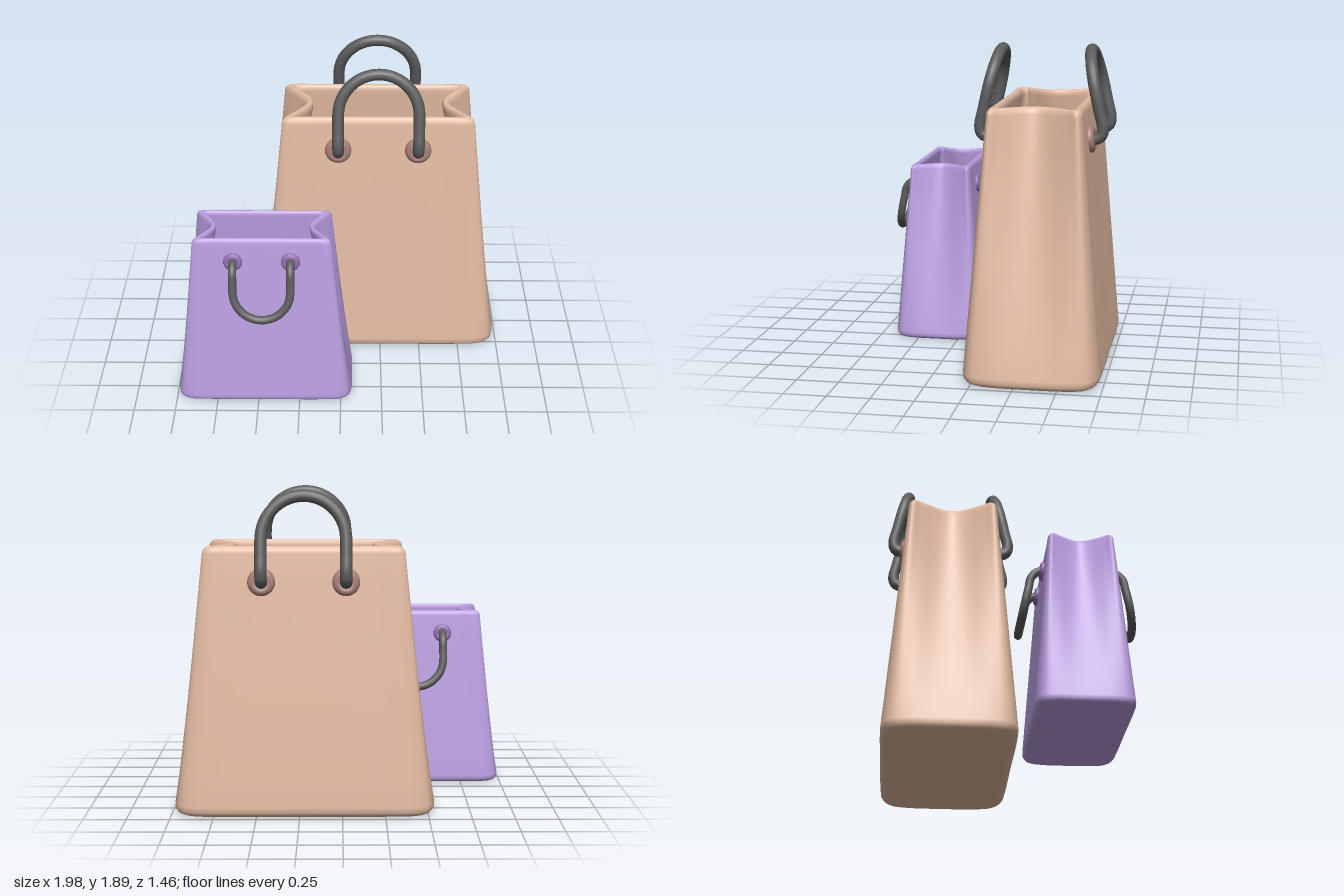
import * as THREE from 'three';

const HEIGHT = 1.565;

// Quarter cross-sections [x, z], from the middle of the side to the middle of the front
const SECTIONS = {
  outerBottom: [[0.775, 0], [0.775, 0.1], [0.768, 0.24], [0.735, 0.345], [0.65, 0.39], [0.5, 0.4], [0, 0.4]],
  outerTop: [[0.445, 0], [0.462, 0.06], [0.545, 0.19], [0.58, 0.245], [0.55, 0.265], [0.4, 0.265], [0, 0.265]],
  innerBottom: [[0.725, 0], [0.725, 0.09], [0.718, 0.21], [0.69, 0.305], [0.62, 0.342], [0.48, 0.35], [0, 0.35]],
  innerTop: [[0.39, 0], [0.402, 0.06], [0.465, 0.155], [0.495, 0.195], [0.465, 0.212], [0.36, 0.212], [0, 0.212]],
};

// Closed ring at height y; w blends from the outer wall (0) to the inner wall (1)
function ring(y, w, scale, count) {
  const u = y / HEIGHT, mix = THREE.MathUtils.lerp;
  const quarter = SECTIONS.outerBottom.map((_, i) => [0, 1].map((k) => mix(
    mix(SECTIONS.outerBottom[i][k], SECTIONS.outerTop[i][k], u),
    mix(SECTIONS.innerBottom[i][k], SECTIONS.innerTop[i][k], u), w)));
  const half = [...quarter, ...quarter.slice(0, -1).reverse().map(([x, z]) => [-x, z])];
  const full = [...half, ...half.slice(1, -1).reverse().map(([x, z]) => [x, -z])];
  const curve = new THREE.CatmullRomCurve3(
    full.map(([x, z]) => new THREE.Vector3(x * scale, y, z * scale)), true);
  return Array.from({ length: count }, (_, i) => curve.getPoint(i / count));
}

// Folded bag skin: underside, outer wall, rounded rim, inner wall, floor
function bagGeometry() {
  const count = 144;
  const rows = [[0, 0.9, 0.001], [0, 0.9, 0.95], [0, 0.85, 1], [0.012, 0.4, 1], [0.03, 0.1, 1], [0.06, 0, 1]];
  for (let i = 1; i < 10; i++) rows.push([0.06 + 1.46 * i / 10, 0, 1]);
  rows.push([1.525, 0, 1], [1.545, 0.05, 1], [1.559, 0.2, 1], [1.565, 0.4, 1],
    [1.565, 0.6, 1], [1.559, 0.8, 1], [1.545, 0.95, 1], [1.525, 1, 1]);
  for (let i = 9; i > 0; i--) rows.push([0.06 + 1.46 * i / 10, 1, 1]);
  rows.push([0.07, 1, 1], [0.06, 1, 0.97], [0.06, 1, 0.001]);

  const points = rows.flatMap(([y, w, s]) => ring(y, w, s, count));
  const index = [];
  for (let r = 0; r < rows.length - 1; r++) {
    for (let j = 0; j < count; j++) {
      const a = r * count + j, b = r * count + (j + 1) % count;
      index.push(a, a + count, b, b, a + count, b + count);
    }
  }
  const geometry = new THREE.BufferGeometry().setFromPoints(points);
  geometry.setIndex(index);
  geometry.computeVertexNormals();
  return geometry;
}

// Looped cord: direction 1 stands up, -1 hangs down
function handleGeometry(direction) {
  const r = 0.243, y0 = 1.363, straight = direction > 0 ? 0.248 : 0.218;
  const lean = (x, dy) => new THREE.Vector3(x, y0 + direction * dy, 0.372 - 0.218 * direction * dy);
  const end = (x) => [
    new THREE.Vector3(x, y0, 0.265),
    new THREE.Vector3(x, y0, 0.315),
    new THREE.Vector3(x, y0 + direction * 0.018, 0.348),
    lean(x, 0.065),
    lean(x, 0.15),
  ];
  const arch = [];
  for (let i = 0; i <= 12; i++) {
    const a = Math.PI * i / 12;
    arch.push(lean(r * Math.cos(a), straight + r * Math.sin(a)));
  }
  const path = new THREE.CatmullRomCurve3([...end(r), ...arch, ...end(-r).reverse()]);
  return new THREE.TubeGeometry(path, 96, 0.035, 16);
}

// Rounded eyelet disc, turned to face +z
function eyeletGeometry() {
  const profile = [[0.08, -0.02], [0.08, 0.008], [0.074, 0.02], [0.06, 0.029], [0.045, 0.03], [0.032, 0.022], [0.001, 0.02]];
  return new THREE.LatheGeometry(profile.map(([x, y]) => new THREE.Vector2(x, y)), 32)
    .rotateX(Math.PI / 2 - 0.086);
}

function makeBag(name, bagColor, eyeletColor, direction) {
  const bag = new THREE.Group();
  bag.name = name;
  const add = (parent, partName, geometry, color) => {
    const material = new THREE.MeshStandardMaterial({ color });
    if (partName === 'eyelet') material.side = THREE.DoubleSide;
    const mesh = new THREE.Mesh(geometry, material);
    mesh.name = partName;
    parent.add(mesh);
    return mesh;
  };
  add(bag, 'bagBody', bagGeometry(), bagColor);
  // Same handle set on the front and, turned round, on the back
  for (const side of ['front', 'back']) {
    const set = new THREE.Group();
    set.name = side + 'Handle';
    set.rotation.y = side === 'front' ? 0 : Math.PI;
    add(set, 'cord', handleGeometry(direction), 0x5c5c5c);
    for (const x of [-0.243, 0.243]) {
      add(set, 'eyelet', eyeletGeometry(), eyeletColor).position.set(x, 1.363, 0.285);
    }
    bag.add(set);
  }
  return bag;
}

export function createModel() {
  const model = new THREE.Group();
  model.name = 'shoppingBags';

  const large = makeBag('largeBag', 0xe3bba2, 0xa67c76, 1);
  large.position.set(0.223, 0, -0.335);

  const small = makeBag('smallBag', 0xbb9fe2, 0x8f6fb0, -1);
  small.scale.setScalar(0.695);
  small.position.set(-0.462, 0, 0.38);

  model.add(large, small);
  return model;
}
